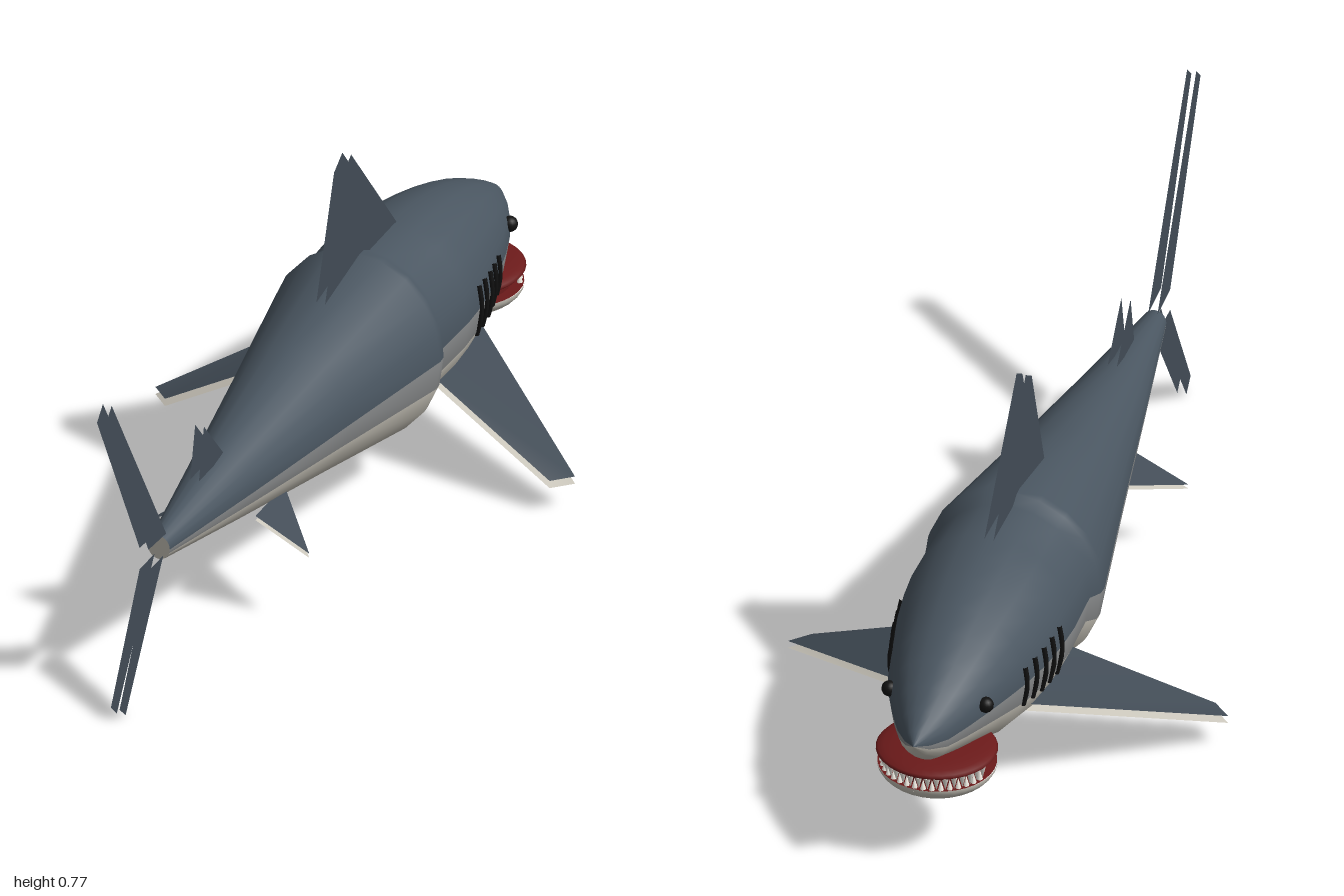
import * as THREE from 'three';

const mat = (color, side = THREE.FrontSide) => new THREE.MeshStandardMaterial({ color, side });
const darkSkin = mat(0x4a5661), midSkin = mat(0x87898a), belly = mat(0xc9c5ba);
const finDark = mat(0x414b55, THREE.DoubleSide), finLight = mat(0xc9c5ba, THREE.DoubleSide);
const red = mat(0x6b1a1a), black = mat(0x111111), white = mat(0xf2efe6);

// Body stations from tail to nose: z, top y, bottom y, half width
const STATIONS = [
  [0.71, 0.33, 0.275, 0.025], [0.4, 0.385, 0.215, 0.078], [0.05, 0.452, 0.15, 0.137],
  [-0.28, 0.518, 0.087, 0.195], [-0.3, 0.517, 0.088, 0.193], [-0.33, 0.503, 0.11, 0.178],
  [-0.45, 0.505, 0.113, 0.182], [-0.52, 0.5, 0.117, 0.177], [-0.6, 0.49, 0.125, 0.166],
  [-0.68, 0.474, 0.145, 0.148], [-0.75, 0.454, 0.18, 0.132], [-0.82, 0.428, 0.21, 0.109],
  [-0.88, 0.4, 0.232, 0.083], [-0.93, 0.372, 0.25, 0.056], [-0.97, 0.347, 0.283, 0.028],
  [-1, 0.325, 0.325, 0],
];

// Point on the body surface at a given z and angle round the section
function onBody(z, angle, out = 0) {
  let i = 0;
  while (i < STATIONS.length - 2 && STATIONS[i + 1][0] > z) i++;
  const a = STATIONS[i], b = STATIONS[i + 1], t = (z - a[0]) / (b[0] - a[0]);
  const [top, bottom, w] = [1, 2, 3].map((k) => THREE.MathUtils.lerp(a[k], b[k], t));
  return new THREE.Vector3(
    (w + out) * Math.cos(angle),
    (top + bottom) / 2 + ((top - bottom) / 2 + out) * Math.sin(angle), z);
}

function add(parent, name, geometry, material) {
  const mesh = new THREE.Mesh(geometry, material);
  mesh.name = name;
  parent.add(mesh);
  return mesh;
}

// Smooth 20-sided loft: dark back, blended flanks, pale belly
function bodyGeometry() {
  const N = 20, pos = [], index = [], geo = new THREE.BufferGeometry();
  for (const [z] of STATIONS)
    for (let j = 0; j < N; j++) pos.push(...onBody(z, (j / N) * Math.PI * 2).toArray());
  const perStrip = (STATIONS.length - 1) * 6;
  for (let j = 0; j < N; j++) {
    for (let i = 0; i < STATIONS.length - 1; i++) {
      const a = i * N + j, b = i * N + (j + 1) % N, c = a + N, d = b + N;
      index.push(a, c, b, b, c, d);
    }
    geo.addGroup(j * perStrip, perStrip, j < 10 ? 0 : j === 10 || j === 19 ? 1 : 2);
  }
  geo.setAttribute('position', new THREE.Float32BufferAttribute(pos, 3));
  geo.setIndex(index);
  geo.computeVertexNormals();
  return geo;
}

// Flat convex sheet from corner points
function sheet(points, offset) {
  const geo = new THREE.BufferGeometry(), index = [];
  geo.setAttribute('position', new THREE.Float32BufferAttribute(
    points.flatMap((p) => p.map((v, k) => v + offset[k])), 3));
  for (let i = 1; i < points.length - 1; i++) index.push(0, i, i + 1);
  geo.setIndex(index);
  geo.computeVertexNormals();
  return geo;
}

export function createModel() {
  const model = new THREE.Group();
  model.name = 'shark';

  add(model, 'body', bodyGeometry(), [darkSkin, midSkin, belly]);
  const cap = add(model, 'tailStump', new THREE.CircleGeometry(1, 20), belly);
  cap.scale.set(0.025, 0.0275, 1);
  cap.position.set(0, 0.3025, 0.71);

  // Upright fins: paired sheets, corners as [z, y]
  const upright = {
    dorsalFin: [[-0.095, 0.45], [-0.195, 0.745], [-0.237, 0.772], [-0.51, 0.45]],
    rearDorsalFin: [[0.53, 0.373], [0.505, 0.49], [0.4, 0.373]],
    upperTailFin: [[0.785, 0.335], [1, 0.735], [0.97, 0.765], [0.695, 0.33]],
    lowerTailFin: [[0.785, 0.285], [0.71, 0.285], [0.9, 0], [0.93, 0.028]],
  };
  for (const [name, pts] of Object.entries(upright)) {
    const fin = new THREE.Group();
    fin.name = name;
    for (const s of [-1, 1])
      add(fin, name + 'Side', sheet(pts.map(([z, y]) => [0, y, z]), [s * 0.01, 0, 0]), finDark);
    model.add(fin);
  }

  // Side fins: dark sheet above, pale sheet below, corners as [x, y, z]
  const sideFins = {
    PectoralFin: [[0.12, 0.222, -0.63], [0.48, 0.07, -0.33], [0.44, 0.07, -0.29], [0.12, 0.218, -0.376]],
    PelvicFin: [[0.06, 0.22, 0.21], [0.183, 0.155, 0.355], [0.06, 0.217, 0.355]],
  };
  const gills = [-0.525, -0.563, -0.602, -0.64, -0.68];
  for (const [side, s] of [['left', 1], ['right', -1]]) {
    for (const [name, pts] of Object.entries(sideFins)) {
      const fin = new THREE.Group(), gap = name === 'PelvicFin' ? 0.01 : 0.017;
      fin.name = side + name;
      const corners = pts.map(([x, y, z]) => [s * x, y, z]);
      if (s < 0) corners.reverse();
      corners.reverse();
      add(fin, 'finTop', sheet(corners, [0, 0, 0]), finDark);
      add(fin, 'finUnderside', sheet([...corners].reverse(), [0, -gap, 0]), finLight);
      model.add(fin);
    }

    // Gill slits hugging the flank
    gills.forEach((z, i) => {
      const path = [-0.36, -0.12, 0.1, 0.27].map((a) => {
        const p = onBody(z, a * (1 - i * 0.02), 0.001);
        p.x *= s;
        return p;
      });
      add(model, side + 'Gill', new THREE.TubeGeometry(new THREE.CatmullRomCurve3(path), 8, 0.006, 6), black);
    });

    // Eye
    const eye = add(model, side + 'Eye', new THREE.SphereGeometry(0.017, 16, 12), black);
    eye.position.copy(onBody(-0.828, 0.22, 0.002));
    eye.position.x *= s;
  }

  // Mouth: red upper lip, dark throat and pale lower jaw
  const mouth = new THREE.Group();
  mouth.name = 'mouth';
  mouth.position.z = -0.83;
  model.add(mouth);
  const lip = add(mouth, 'upperLip', new THREE.SphereGeometry(1, 32, 12), red);
  lip.scale.set(0.128, 0.018, 0.128);
  lip.position.set(0, 0.22, -0.003);
  lip.rotation.x = 0.03;
  const throat = add(mouth, 'throat', new THREE.CylinderGeometry(0.1, 0.1, 0.04, 28), red);
  throat.position.y = 0.195;
  const jaw = add(mouth, 'lowerJaw',
    new THREE.SphereGeometry(1, 32, 10, 0, Math.PI * 2, Math.PI / 2, Math.PI / 2), belly);
  jaw.scale.set(0.127, 0.056, 0.125);
  jaw.position.y = 0.188;
  const floor = add(mouth, 'jawFloor', new THREE.CircleGeometry(0.125, 32), red);
  floor.rotation.x = -Math.PI / 2;
  floor.position.y = 0.187;

  // Two rows of teeth round the front of the mouth
  const tooth = new THREE.ConeGeometry(0.008, 0.03, 6);
  const COUNT = 16;
  for (let i = 0; i < COUNT; i++) {
    for (const up of [true, false]) {
      const a = (((i + (up ? 0.5 : 0)) / (COUNT - 0.5)) - 0.5) * 2.5;
      const t = add(mouth, up ? 'lowerTooth' : 'upperTooth', tooth, white);
      t.position.set(0.116 * Math.sin(a), up ? 0.196 : 0.201, -0.116 * Math.cos(a));
      if (!up) t.rotation.x = Math.PI;
    }
  }
  return model;
}
